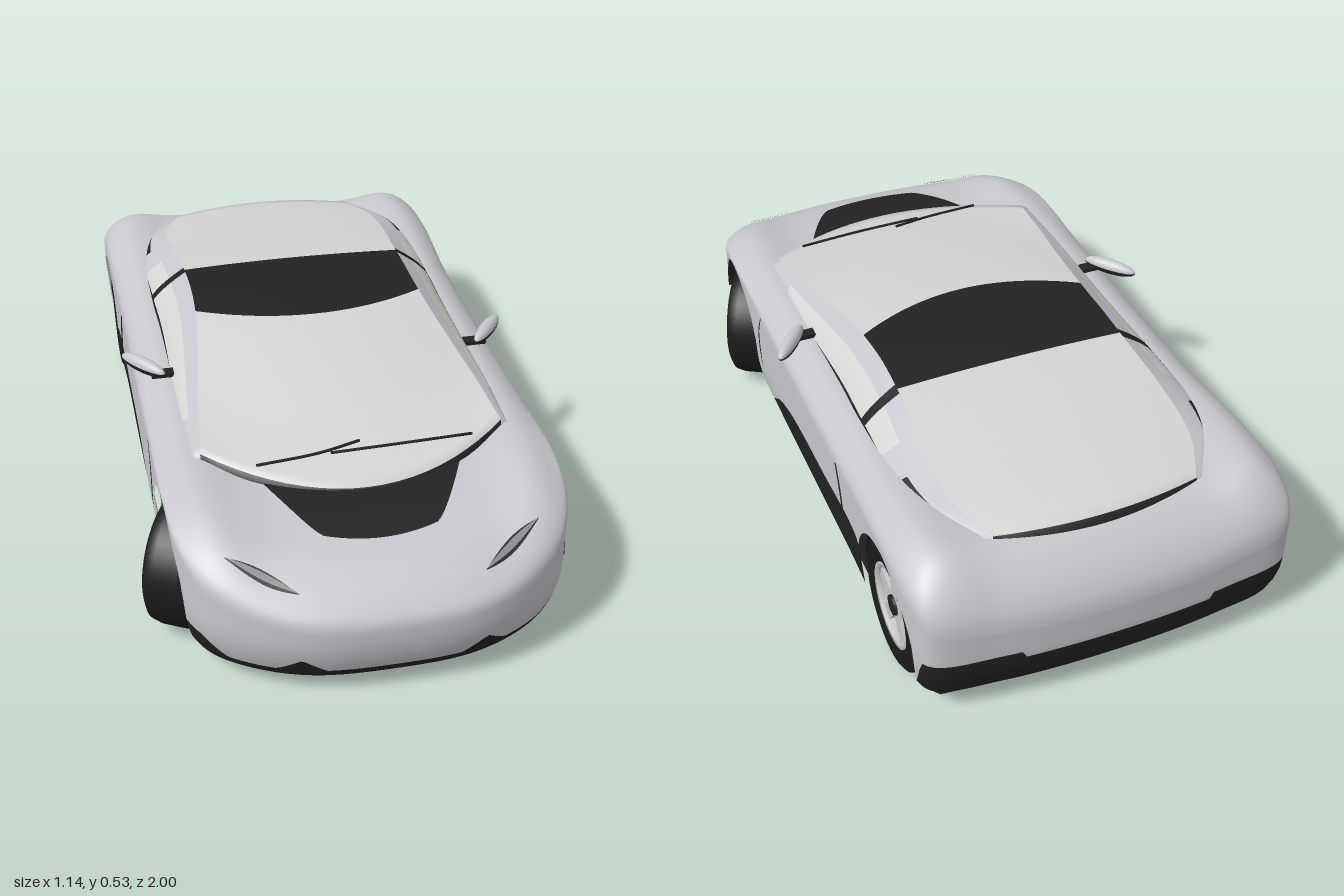
import * as THREE from 'three';

const mat = (name, color) => Object.assign(new THREE.MeshStandardMaterial({ color, side: THREE.DoubleSide }), { name });
const paint = mat('silver paint', 0xc6c6cc), trim = mat('black trim', 0x222222), glass = mat('pale glass', 0xd4d4d2);
const rubber = mat('tyre rubber', 0x1b1b1b), alloy = mat('wheel alloy', 0xc8c8c8), lens = mat('lamp lens', 0x8c8c90);
const MATS = [paint, trim, glass, lens];
const PAINT = 0, TRIM = 1, GLASS = 2, LENS = 3;
const clamp = THREE.MathUtils.clamp, lerp = THREE.MathUtils.lerp;

// smooth curve through [position, value] pairs, positions falling from front to rear
function curve(p) {
  const slope = i => {
    const a = p[Math.max(i - 1, 0)], b = p[Math.min(i + 1, p.length - 1)];
    return (b[1] - a[1]) / (b[0] - a[0]);
  };
  return z => {
    z = clamp(z, p[p.length - 1][0], p[0][0]);
    let i = 0;
    while (i < p.length - 2 && z < p[i + 1][0]) i++;
    const h = p[i + 1][0] - p[i][0], t = (z - p[i][0]) / h, t2 = t * t, t3 = t2 * t;
    return (2 * t3 - 3 * t2 + 1) * p[i][1] + (t3 - 2 * t2 + t) * h * slope(i)
      + (3 * t2 - 2 * t3) * p[i + 1][1] + (t3 - t2) * h * slope(i + 1);
  };
}

// grid surface; each cell takes the material index given by pick(i, j)
function surface(name, nu, nv, point, pick) {
  const pos = [], cells = MATS.map(() => []);
  for (let i = 0; i <= nu; i++) for (let j = 0; j <= nv; j++) pos.push(...point(i, j));
  for (let i = 0; i < nu; i++) for (let j = 0; j < nv; j++) {
    const a = i * (nv + 1) + j, b = a + nv + 1;
    cells[pick(i, j)].push(a, b, b + 1, a, b + 1, a + 1);
  }
  const g = new THREE.BufferGeometry();
  g.setAttribute('position', new THREE.Float32BufferAttribute(pos, 3));
  g.setIndex(cells.flat());
  let start = 0;
  cells.forEach((c, k) => { if (c.length) g.addGroup(start, c.length, k); start += c.length; });
  g.computeVertexNormals();
  const m = new THREE.Mesh(g, MATS);
  m.name = name;
  return m;
}

// body plan outline, running from the nose round the left side to the tail and back
const half = [[0.2, 0.985], [0.34, 0.93], [0.44, 0.85], [0.485, 0.75], [0.5, 0.6], [0.502, 0.3], [0.502, 0],
  [0.502, -0.4], [0.508, -0.7], [0.503, -0.88], [0.475, -0.95], [0.3, -0.985]];
const loop = [[0, 1], ...half, [0, -1], ...half.map(([x, z]) => [-x, z]).reverse()];
const N = 520;
const outline = new THREE.CatmullRomCurve3(loop.map(([x, z]) => new THREE.Vector3(x, 0, z)), true, 'centripetal').getSpacedPoints(N);

const WHEEL_Z = [0.58, -0.71], WHEEL_Y = 0.178, ARCH = 0.187;
const shoulder = curve([[1, 0.22], [0.9, 0.26], [0.75, 0.335], [0.6, 0.375], [0.3, 0.365], [0, 0.36], [-0.4, 0.365], [-0.7, 0.388], [-0.9, 0.35], [-1, 0.27]]);
const deckMid = curve([[1, 0.285], [0.9, 0.32], [0.8, 0.35], [0.66, 0.376], [0.4, 0.39], [0, 0.4], [-0.4, 0.41], [-0.85, 0.434], [-1, 0.4]]);
const sill = curve([[0.34, 0.05], [0.25, 0.115], [0.15, 0.178], [0, 0.213], [-0.25, 0.225], [-0.5, 0.24], [-0.56, 0.2]]);
const deck = (x, z) => deckMid(z) + 0.025 * Math.exp(-(((Math.abs(x) - 0.41) / 0.09) ** 2));
const round = q => Math.sqrt(1 - (1 - clamp(q / 0.16, 0, 1)) ** 2);

// lower edge of the body, lifted over the wheels
function lowerEdge({ x, z }) {
  let y = z > 0.5 ? 0.06 : z < -0.8 ? 0.08 : 0.05;
  for (const c of WHEEL_Z) {
    const d = Math.abs(z - c);
    if (d < ARCH && Math.abs(x) > 0.35) y = WHEEL_Y + Math.sqrt(ARCH * ARCH - d * d);
  }
  return Math.min(y, shoulder(z) - 0.004);
}
// upper edge of the black skirt
function skirtEdge({ x, z }) {
  const ax = Math.abs(x);
  if (z > 0.7) return 0.085 + 0.045 * Math.max(0, 1 - Math.abs(ax - 0.23) / 0.06) + 0.05 * clamp((ax - 0.4) / 0.05, 0, 1);
  if (z < -0.85) return lerp(0.08, ax < 0.25 ? 0.18 : 0.2, clamp((-0.905 - z) / 0.025, 0, 1));
  return sill(z);
}
function bodyPoint(i, j) {
  const o = outline[i], yb = lowerEdge(o), yd = Math.max(yb, skirtEdge(o)), s = shoulder(o.z);
  if (j > 12) {
    const q = 0.5 * ((j - 12) / 24) ** 1.6, x = o.x * (1 - q), z = o.z * (1 - q);
    return [x, s + (deck(x, z) - s) * round(q), z];
  }
  const y = j <= 3 ? lerp(yb, yd, j / 3) : lerp(yd, s, (j - 3) / 9);
  const k = 1 - 0.045 * clamp((0.2 - y) / 0.15, 0, 1) ** 2;
  return [o.x * k, y, o.z * k];
}
// height of the finished deck at any spot
function deckY(x, z) {
  const a = Math.atan2(x, z);
  let o = outline[0], best = 9;
  for (const p of outline) {
    const d = Math.abs(Math.atan2(p.x, p.z) - a);
    if (d < best) { best = d; o = p; }
  }
  const s = shoulder(o.z);
  return s + (deck(x, z) - s) * round(1 - Math.hypot(x, z) / Math.hypot(o.x, o.z));
}

// cabin curves along its length
const bend = curve([[0.66, 1.1], [0.02, 0.9], [-0.32, 0], [-0.87, -0.5]]);
const roofW = curve([[0.66, 0.39], [0.45, 0.368], [0.3, 0.348], [0.02, 0.318], [-0.32, 0.315], [-0.6, 0.33], [-0.75, 0.32], [-0.87, 0.27]]);
const baseW = curve([[0.66, 0.405], [0.45, 0.418], [0.02, 0.42], [-0.32, 0.425], [-0.6, 0.42], [-0.75, 0.385], [-0.87, 0.295]]);
const roofY = curve([[0.66, 0.383], [0.5, 0.426], [0.3, 0.475], [0.1, 0.511], [0, 0.522], [-0.2, 0.529], [-0.4, 0.516], [-0.6, 0.488], [-0.8, 0.461], [-0.87, 0.45]]);
const crown = curve([[0.66, -0.04], [0.5, -0.02], [0.3, 0], [0, 0.006], [-0.6, 0.008], [-0.87, 0.008]]);
function roofPoint(t, v) {
  const w = roofW(t), x = w * v, end = t > 0.665 || t < -0.875 ? 0.03 : 0;
  return [x, roofY(t) - crown(t) * v * v - end, t - bend(t) * x * x];
}
function sidePoint(t, s, side) {
  const top = roofPoint(t, 1), w = baseW(t), z = t - bend(t) * w * w, y = deck(w, z) - 0.015;
  const out = 0.012 * Math.sin(Math.PI * s);
  return [side * (lerp(w, top[0], s) + out), lerp(Math.min(y, top[1]), top[1], s), lerp(z, top[2], s)];
}

function tube(name, pts, r, m) {
  const c = new THREE.CatmullRomCurve3(pts.map(p => new THREE.Vector3(...p)));
  const mesh = new THREE.Mesh(new THREE.TubeGeometry(c, 16, r, 6), m);
  mesh.name = name;
  return mesh;
}
function part(parent, name, geo, m, x = 0, y = 0, z = 0) {
  const mesh = new THREE.Mesh(geo, m);
  mesh.name = name;
  mesh.position.set(x, y, z);
  parent.add(mesh);
  return mesh;
}

// wheel whose outer face looks along +x
function wheel() {
  const g = new THREE.Group();
  const V = (r, w) => new THREE.Vector2(r, w);
  const tyre = [V(0.108, -0.055), V(0.125, -0.065), V(0.155, -0.064), V(0.17, -0.054), V(0.176, -0.03), V(0.176, 0.03),
    V(0.17, 0.054), V(0.155, 0.064), V(0.125, 0.065), V(0.108, 0.055)];
  part(g, 'tyre', new THREE.LatheGeometry(tyre, 48).rotateZ(-Math.PI / 2), rubber);
  const rim = [V(0.098, -0.055), V(0.098, 0.045), V(0.1, 0.058), V(0.112, 0.06), V(0.112, 0.05)];
  part(g, 'rim', new THREE.LatheGeometry(rim, 40).rotateZ(-Math.PI / 2), alloy);
  part(g, 'brakeDisc', new THREE.CylinderGeometry(0.1, 0.1, 0.02, 32).rotateZ(Math.PI / 2), lens, 0.02);
  part(g, 'hub', new THREE.CylinderGeometry(0.026, 0.03, 0.02, 20).rotateZ(-Math.PI / 2), trim, 0.047);
  for (let k = 0; k < 5; k++) {
    const spoke = new THREE.BoxGeometry(0.014, 0.08, 0.042).translate(0.043, 0.062, 0).rotateX(k * Math.PI * 0.4);
    part(g, 'spoke', spoke, alloy);
  }
  return g;
}

export function createModel() {
  const car = new THREE.Group();
  car.name = 'sportsCar';
  car.add(surface('bodyShell', N, 36, bodyPoint, (i, j) => (j < 3 ? TRIM : PAINT)));

  // cabin: windscreen, black roof panel, rear window
  const T = [0.67, -0.88, 0.66, 0.5, 0.02, -0.3, -0.32, -0.34, -0.5, -0.62, -0.87];
  for (let k = 1; k < 48; k++) T.push(0.66 - k * 0.0319);
  T.sort((a, b) => b - a);
  const n = T.length - 1, mid = i => (T[i] + T[i + 1]) / 2;
  car.add(surface('roofAndScreens', n, 20, (i, j) => roofPoint(T[i], 1 - j / 10), i => {
    const t = mid(i);
    return t > 0.66 || t < -0.87 || (t < 0.02 && t > -0.32) ? TRIM : GLASS;
  }));
  // cabin sides: pillars, side windows, rear vents
  for (const side of [1, -1]) {
    car.add(surface('cabinSide', n, 10, (i, j) => sidePoint(T[i], (side > 0 ? j : 10 - j) / 10, side), (i, j) => {
      const t = mid(i), row = side > 0 ? j : 9 - j;
      if (t < -0.62) return row < 5 ? TRIM : PAINT;
      if (t < -0.3 && t > -0.34) return TRIM;
      if (row >= 7 || t > 0.5 || t < -0.5) return PAINT;
      return row < 2 ? TRIM : GLASS;
    }));
  }

  // bonnet panel
  car.add(surface('bonnetPanel', 16, 16, (i, j) => {
    const u = i / 16, v = 1 - j / 8, x = v * (0.14 + 0.11 * u ** 0.8), z = lerp(0.82 - 0.025 * v * v, 0.6, u);
    return [x, deckY(x, z) + 0.004, z];
  }, () => TRIM));

  for (const s of [1, -1]) {
    // slit headlamps: dark surround with a narrower lens
    [['lampSurround', 0.032, 0.004, TRIM], ['lampLens', 0.018, 0.007, LENS]].forEach(([name, wide, lift, m]) =>
      car.add(surface(name, 16, 4, (i, j) => {
        const u = i / 16, x = lerp(0.225, 0.385, u), z = lerp(0.925, 0.825, u) + (0.5 - j / 4) * wide * Math.sin(Math.PI * u);
        return [s * x, deckY(x, z) + lift, z];
      }, () => m)));

    // door seams
    car.add(tube('doorSeamFront', [[0.5, 0.362, 0.31], [0.501, 0.29, 0.345], [0.499, 0.18, 0.34], [0.482, 0.07, 0.32]].map(([x, y, z]) => [s * x, y, z]), 0.003, trim));
    car.add(tube('doorSeamRear', [[0.501, 0.362, -0.36], [0.502, 0.3, -0.385], [0.502, 0.24, -0.4]].map(([x, y, z]) => [s * x, y, z]), 0.003, trim));

    // door mirror: silver cap over a black base
    const mirror = new THREE.Group();
    mirror.name = 'doorMirror';
    mirror.position.set(s * 0.482, 0.442, 0.065);
    mirror.rotation.y = s * 0.9;
    part(mirror, 'mirrorCap', new THREE.SphereGeometry(1, 24, 8, 0, Math.PI * 2, 0, Math.PI / 2).scale(0.08, 0.022, 0.02), paint);
    part(mirror, 'mirrorBase', new THREE.SphereGeometry(1, 24, 8, 0, Math.PI * 2, Math.PI / 2, Math.PI / 2).scale(0.08, 0.022, 0.02), trim);
    car.add(mirror);
    part(car, 'mirrorArm', new THREE.BoxGeometry(0.06, 0.012, 0.03), trim, s * 0.435, 0.43, 0.1);

    // wheels, arch liners and axles; the front pair is steered
    WHEEL_Z.forEach((z, k) => {
      const w = wheel();
      w.name = k ? 'rearWheel' : 'frontWheel';
      w.position.set(s * (k ? 0.428 : 0.437), 0.176, z);
      w.rotation.y = (k ? 0 : -0.52) + (s < 0 ? Math.PI : 0);
      car.add(w);
      const liner = new THREE.CylinderGeometry(ARCH, ARCH, 0.22, 32, 1, true, 0, Math.PI).rotateZ(Math.PI / 2);
      part(car, 'archLiner', liner, trim, s * 0.375, WHEEL_Y, z);
      part(car, 'axle', new THREE.CylinderGeometry(0.028, 0.028, 0.2, 16).rotateZ(Math.PI / 2), trim, s * 0.32, 0.176, z);
    });
  }

  // wipers
  car.add(tube('wiper', [[-0.26, 0.416, 0.56], [-0.1, 0.421, 0.545], [0.01, 0.428, 0.52]], 0.004, trim));
  car.add(tube('wiper', [[-0.07, 0.421, 0.55], [0.12, 0.422, 0.545], [0.3, 0.42, 0.535]], 0.004, trim));

  // flat floor notched round the wheels, and the central tub between them
  const f = [[0.2, 0.925], [0.33, 0.865], [0.4, 0.775], [0.27, 0.775], [0.27, 0.39], [0.465, 0.39], [0.465, -0.52],
    [0.27, -0.52], [0.27, -0.9], [0.455, -0.9], [0.44, -0.92], [0.25, -0.94]];
  const pts = [...f, ...f.map(([x, z]) => [-x, z]).reverse()].map(([x, z]) => new THREE.Vector2(x, -z));
  const floor = new THREE.ExtrudeGeometry(new THREE.Shape(pts), { depth: 0.12, bevelEnabled: false }).rotateX(-Math.PI / 2);
  part(car, 'floor', floor, trim, 0, 0.055, 0);
  part(car, 'tub', new THREE.BoxGeometry(0.53, 0.26, 1.5), trim, 0, 0.2, -0.05);
  return car;
}
